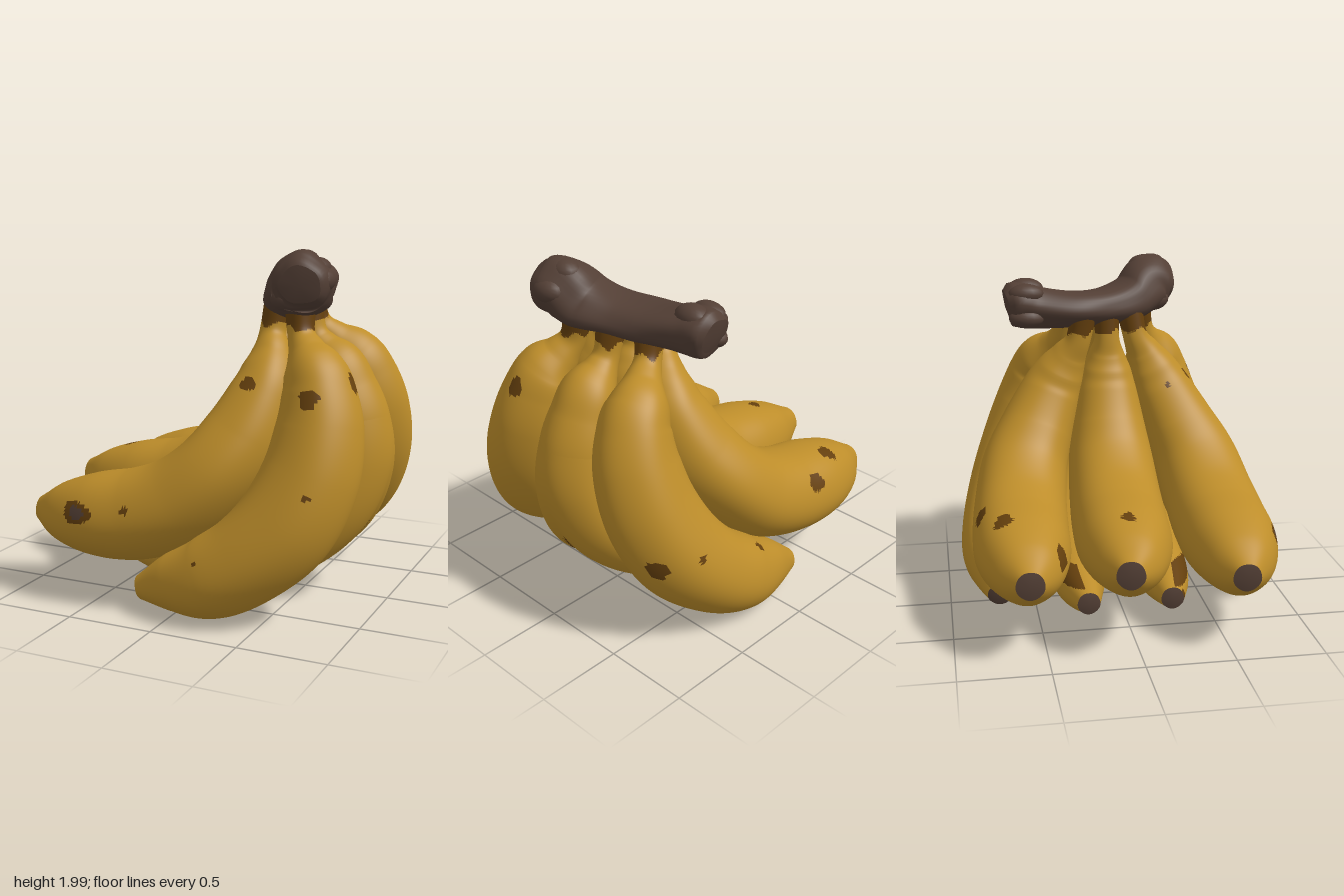
import * as THREE from 'three';

const colour = (name, hex) => {
  const m = new THREE.MeshStandardMaterial({ color: hex });
  m.name = name;
  return m;
};

// Sweeps rings along a path. Rows are [x, y, z, width radius, depth radius].
// paint(centre, normal, t) picks the material index of each face.
function sweep(rows, ref, rings, sides, shape, paint) {
  const path = new THREE.CatmullRomCurve3(rows.map(p => new THREE.Vector3(p[0], p[1], p[2])), false, 'catmullrom');
  const size = new THREE.CatmullRomCurve3(rows.map(p => new THREE.Vector3(p[3], p[4] ?? p[3], 0)), false, 'catmullrom');
  const pos = [], faces = [];
  for (let i = 0; i <= rings; i++) {
    const t = path.getUtoTmapping(i / rings), c = path.getPoint(t), s = size.getPoint(t), dir = path.getTangent(t);
    const b = ref.clone().addScaledVector(dir, -ref.dot(dir)).normalize();
    const n = b.clone().cross(dir);
    for (let j = 0; j < sides; j++) {
      const a = j / sides * Math.PI * 2, k = shape(a, t);
      const p = c.clone().addScaledVector(b, Math.sin(a) * s.x * k).addScaledVector(n, Math.cos(a) * s.y * k);
      pos.push(p.x, p.y, p.z);
    }
  }
  for (let i = 0; i < rings; i++) for (let j = 0; j < sides; j++) {
    const a = i * sides + j, b = i * sides + (j + 1) % sides;
    faces.push([a, b, a + sides, (i + 0.5) / rings], [b, b + sides, a + sides, (i + 0.5) / rings]);
  }
  // end caps get their own rim so the edge stays sharp
  for (const end of [0, 1]) {
    const start = end * rings * sides, rim = pos.length / 3;
    pos.push(...pos.slice(start * 3, (start + sides) * 3));
    const c = path.getPoint(end).addScaledVector(path.getTangent(end), end ? 0.015 : -0.015);
    pos.push(c.x, c.y, c.z);
    for (let j = 0; j < sides; j++) {
      const a = rim + j, b = rim + (j + 1) % sides;
      faces.push(end ? [rim + sides, a, b, 1] : [rim + sides, b, a, 0]);
    }
  }
  const buckets = [[], [], []];
  const v = i => new THREE.Vector3().fromArray(pos, i * 3);
  for (const [a, b, c, t] of faces) {
    const A = v(a), B = v(b), C = v(c);
    const n = B.clone().sub(A).cross(C.clone().sub(A)).normalize();
    buckets[paint(A.add(B).add(C).divideScalar(3), n, t)].push(a, b, c);
  }
  const g = new THREE.BufferGeometry();
  g.setAttribute('position', new THREE.Float32BufferAttribute(pos, 3));
  g.setIndex(buckets.flat());
  let at = 0;
  buckets.forEach((list, m) => { if (list.length) g.addGroup(at, list.length, m); at += list.length; });
  g.computeVertexNormals();
  return g;
}

// Centre lines: [x, y, z, width radius, depth radius], neck first and tip last
const UPPER = [
  [0.37, 1.67, 0.15, 0.078], [0.355, 1.53, 0.18, 0.075], [0.37, 1.43, 0.23, 0.108], [0.375, 1.33, 0.28, 0.15],
  [0.36, 1.2, 0.34, 0.185], [0.285, 0.98, 0.44, 0.225], [0.155, 0.79, 0.525, 0.255, 0.235], [-0.045, 0.615, 0.565, 0.27, 0.255],
  [-0.27, 0.52, 0.58, 0.275, 0.26], [-0.53, 0.482, 0.582, 0.262, 0.243], [-0.77, 0.462, 0.57, 0.19, 0.18],
  [-0.94, 0.46, 0.56, 0.078]];
const OUTER = [
  [0.53, 1.68, 0.22, 0.085], [0.55, 1.54, 0.25, 0.076], [0.6, 1.45, 0.29, 0.108], [0.66, 1.36, 0.34, 0.168],
  [0.7, 1.25, 0.37, 0.2], [0.725, 1.05, 0.42, 0.232, 0.24], [0.7, 0.8, 0.5, 0.25, 0.265], [0.595, 0.56, 0.59, 0.25, 0.27],
  [0.41, 0.37, 0.66, 0.24, 0.25], [0.2, 0.245, 0.685, 0.23], [-0.02, 0.185, 0.7, 0.165], [-0.21, 0.135, 0.72, 0.07]];
const INNER = [
  [0.49, 1.67, 0, 0.085], [0.53, 1.52, 0, 0.075], [0.58, 1.44, 0, 0.1], [0.66, 1.34, 0, 0.16],
  [0.71, 1.22, 0, 0.185], [0.765, 1.03, 0, 0.215], [0.77, 0.8, 0.02, 0.23], [0.66, 0.54, 0.085, 0.23],
  [0.42, 0.34, 0.175, 0.22], [0.1, 0.24, 0.225, 0.195], [-0.25, 0.195, 0.25, 0.145], [-0.54, 0.19, 0.24, 0.065]];

// Places a centre line: side factor for z, neck shift in x, then rise, pull and drift at the tip
const place = (rows, side, neck = 0, rise = 0, pull = 0, drift = 0) => rows.map(([x, y, z, ...r], i) => {
  const f = i / (rows.length - 1);
  return [x + neck * Math.max(0, 1 - f * 2.5) + pull * f, y + rise * f ** 2, z * side + drift * f ** 4, ...r];
});

// Bruises: [facing direction, first coordinate, second coordinate, half width, half height, material]
const SPOTS = {
  frontUpper: [['+z', -0.55, 0.55, 0.05, 0.035, 2], ['+z', -0.55, 0.55, 0.1, 0.06, 1], ['+z', -0.24, 0.6, 0.024, 0.022, 1],
    ['+z', 0.34, 1.29, 0.045, 0.033, 1], ['+y', 0.19, 0.35, 0.012, 0.012, 1]],
  middleUpper: [['+y', -0.68, -0.04, 0.04, 0.035, 1]],
  backUpper: [['+y', -0.56, -0.71, 0.055, 0.05, 1], ['+y', -0.33, -0.82, 0.06, 0.03, 1], ['+y', -0.75, -0.4, 0.08, 0.035, 1]],
  frontOuter: [['+z', 0.72, 1.25, 0.055, 0.05, 1], ['+z', 0.78, 0.77, 0.02, 0.015, 1], ['+z', 0.2, 0.38, 0.012, 0.01, 1],
    ['+x', 0.36, 1.31, 0.045, 0.055, 1]],
  backOuter: [['+x', -0.7, 0.6, 0.05, 0.06, 1], ['-z', 0.64, 0.62, 0.025, 0.025, 1], ['+y', 0.14, -0.8, 0.025, 0.025, 1]],
  frontInner: [['+z', -0.52, 0.18, 0.025, 0.05, 1], ['+z', -0.3, 0.27, 0.22, 0.045, 1], ['+x', 0.37, 0.22, 0.075, 0.17, 1]],
  backInner: [['+x', -0.4, 0.18, 0.06, 0.08, 1], ['-z', -0.27, 0.28, 0.22, 0.045, 1]],
};

export function createModel() {
  const yellow = colour('banana yellow', 0xbd8d2a);
  const bruise = colour('bruise brown', 0x643f0d);
  const bark = colour('stalk brown', 0x533f35);
  const model = new THREE.Group();
  model.name = 'bananaBunch';
  const Z = new THREE.Vector3(0, 0, 1), X = new THREE.Vector3(1, 0, 0);

  function banana(name, rows, contact = () => false) {
    const spots = SPOTS[name] || [];
    const paint = (p, n, t) => {
      if (t > 0.999) return 2;
      if (p.y > 1.578 + 0.018 * Math.sin(p.x * 45 + p.z * 35)) return 1;
      for (const [[sign, axis], u, v, ru, rv, m] of spots) {
        const a = axis === 'x' ? p.z : p.x, b = axis === 'y' ? p.z : p.y;
        const wobble = 1 + 0.1 * Math.sin(3 * Math.atan2((b - v) / rv, (a - u) / ru) + u * 9);
        const facing = sign === '-' ? -n[axis] : n[axis];
        if (facing > 0.1 && Math.hypot((a - u) / ru, (b - v) / rv) < wobble) return m;
      }
      return contact(p) ? 1 : 0;
    };
    const g = sweep(rows, Z, 135, 70, a => 1 + 0.012 * Math.cos(5 * a), paint);
    const mesh = new THREE.Mesh(g, [yellow, bruise, bark]);
    mesh.name = name + 'Banana';
    model.add(mesh);
  }

  // Upper layer
  banana('frontUpper', place(UPPER, 1));
  banana('middleUpper', place(UPPER, 0, -0.03, 0.075, -0.05, -0.08));
  banana('backUpper', place(UPPER, -1, -0.08, 0.03, 0, -0.04));

  // Lower layer: two outer bananas and a pair that parts from one neck
  banana('frontOuter', place(OUTER, 1));
  banana('backOuter', place(OUTER, -1, -0.11));
  const crease = p => Math.abs(p.z) < Math.min(0.1, (0.52 - p.y) * 0.3);
  banana('frontInner', place(INNER, 1), crease);
  banana('backInner', place(INNER, -1), crease);

  // Woody stalk with a knobbly, grooved surface
  const stalkRows = [
    [0.32, 1.74, -0.595, 0.105, 0.095], [0.322, 1.745, -0.575, 0.138, 0.128], [0.33, 1.745, -0.52, 0.15, 0.135],
    [0.345, 1.73, -0.42, 0.158, 0.122], [0.37, 1.71, -0.2, 0.185, 0.108], [0.42, 1.712, 0, 0.185, 0.108],
    [0.49, 1.745, 0.17, 0.185, 0.14], [0.56, 1.82, 0.29, 0.17, 0.165], [0.59, 1.825, 0.37, 0.15, 0.145],
    [0.6, 1.82, 0.42, 0.115, 0.1]];
  const lumps = (a, t) => 1 + 0.035 * Math.sin(3 * a + t * 5) + 0.03 * Math.sin(5 * a - t * 9) + 0.02 * Math.sin(t * 26 + 2 * a);
  const stalk = new THREE.Mesh(sweep(stalkRows, X, 60, 40, lumps, () => 0), bark);
  stalk.name = 'stalk';
  model.add(stalk);

  // Knots stretched along the stalk near its ends: [x, y, z, size, stretch]
  const knots = [[0.235, 1.68, -0.49, 0.065, 1.6], [0.255, 1.82, -0.49, 0.065, 1.6], [0.37, 1.83, -0.485, 0.075, 1.45],
    [0.4, 1.69, -0.485, 0.065, 1.6], [0.57, 1.925, 0.27, 0.08, 1.3], [0.66, 1.84, 0.29, 0.085, 1.3], [0.48, 1.74, 0.29, 0.085, 1.4]];
  for (const [x, y, z, r, stretch] of knots) {
    const knot = new THREE.Mesh(new THREE.SphereGeometry(r, 16, 12), bark);
    knot.position.set(x, y, z);
    knot.scale.set(1.05, 0.9, stretch);
    knot.name = 'stalkKnot';
    model.add(knot);
  }
  return model;
}
